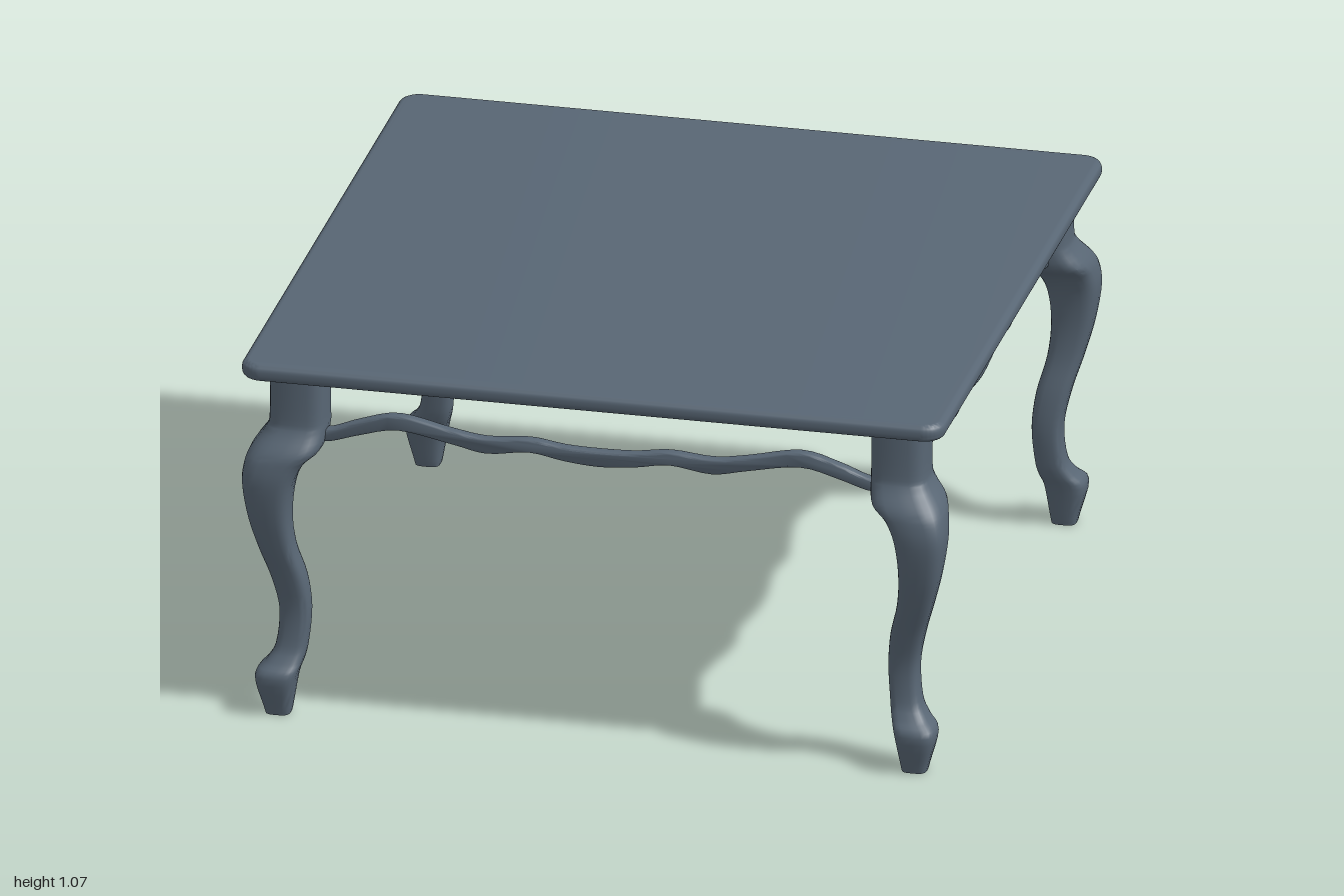
import * as THREE from 'three';
import { toCreasedNormals } from 'three/addons/utils/BufferGeometryUtils.js';

const slate = new THREE.MeshStandardMaterial({ color: 0x586674 });
slate.name = 'slate';

// Leg outline: [height, outer edge, inner edge], the same along x and z
const LEG = [
  [0, 0.94, 0.87], [0.02, 0.945, 0.866], [0.115, 0.968, 0.85], [0.155, 0.94, 0.838],
  [0.2, 0.917, 0.83], [0.3, 0.909, 0.823], [0.4, 0.928, 0.833], [0.5, 0.958, 0.858],
  [0.6, 0.984, 0.866], [0.7, 0.999, 0.855], [0.76, 0.995, 0.828], [0.8, 0.981, 0.785],
  [0.85, 0.945, 0.775], [0.89, 0.936, 0.775], [1.03, 0.936, 0.775],
];

// Half of the scalloped lower edge shared by aprons and rails: [offset, y]
const LOWER = [[0, 0.81], [0.1, 0.818], [0.2, 0.834], [0.32, 0.819], [0.42, 0.838],
  [0.57, 0.864], [0.68, 0.84], [0.76, 0.815], [0.82, 0.81]];
const RAIL_UPPER = [[0, 0.857], [0.1, 0.86], [0.2, 0.873], [0.32, 0.864], [0.42, 0.878],
  [0.57, 0.908], [0.68, 0.882], [0.76, 0.852], [0.82, 0.845]];
const APRON_UPPER = [[0, 0.945], [0.13, 0.935], [0.25, 0.93], [0.4, 0.938], [0.6, 0.935],
  [0.72, 0.95], [0.82, 0.958]];
const FULL_UPPER = [[0, 1.03], [0.82, 1.03]];

// Curved leg swept through rounded-square cross-sections
function legGeometry(sx, sz) {
  const sides = 24, steps = 56;
  const outer = new THREE.SplineCurve(LEG.map(([y, o]) => new THREE.Vector2(o, y)));
  const inner = new THREE.SplineCurve(LEG.map(([y, , i]) => new THREE.Vector2(i, y)));
  const pos = [], index = [];
  for (let r = 0; r <= steps; r++) {
    const a = outer.getPoint(r / steps), b = inner.getPoint(r / steps);
    const c = (a.x + b.x) / 2, h = (a.x - b.x) / 2;
    for (let k = 0; k < sides; k++) {
      const t = (k / sides) * Math.PI * 2, u = Math.cos(t), v = Math.sin(t);
      const round = (n) => Math.sign(n) * Math.pow(Math.abs(n), 0.6) * h;
      pos.push(sx * c + round(u), a.y, sz * c + round(v));
      if (r < steps) {
        const p = r * sides + k, q = r * sides + ((k + 1) % sides);
        index.push(p, p + sides, q, q, p + sides, q + sides);
      }
    }
  }
  // Sole of the foot
  const mid = pos.length / 3;
  pos.push(sx * 0.905, 0, sz * 0.905);
  for (let k = 0; k < sides; k++) index.push(mid, k, (k + 1) % sides);
  const g = new THREE.BufferGeometry();
  g.setAttribute('position', new THREE.Float32BufferAttribute(pos, 3));
  g.setIndex(index);
  return toCreasedNormals(g, 0.7);
}

// Mirror a half edge into a smooth full-width line
function fullEdge(half) {
  const pts = [...half.slice(1).reverse().map(([x, y]) => [-x, y]), ...half];
  return new THREE.SplineCurve(pts.map(([x, y]) => new THREE.Vector2(x, y))).getPoints(64);
}

// Wavy board with its thickness centred on z = 0
function boardGeometry(lower, upper, thickness) {
  const shape = new THREE.Shape([...fullEdge(lower), ...fullEdge(upper).reverse()]);
  const bevel = 0.006;
  const g = new THREE.ExtrudeGeometry(shape, {
    depth: thickness - 2 * bevel, bevelEnabled: true, bevelThickness: bevel,
    bevelSize: bevel, bevelOffset: -bevel, bevelSegments: 2,
  });
  g.translate(0, 0, bevel - thickness / 2);
  return toCreasedNormals(g, 0.9);
}

// Square top with rounded corners and a bullnose rim
function topGeometry() {
  const s = 1, r = 0.06, shape = new THREE.Shape();
  shape.moveTo(-s + r, -s);
  [[1, -1, -0.5], [1, 1, 0], [-1, 1, 0.5], [-1, -1, 1]].forEach(([x, y, a]) =>
    shape.absarc(x * (s - r), y * (s - r), r, a * Math.PI, (a + 0.5) * Math.PI, false));
  const g = new THREE.ExtrudeGeometry(shape, {
    depth: 0.01, bevelEnabled: true, bevelThickness: 0.02, bevelSize: 0.02,
    bevelOffset: -0.02, bevelSegments: 5, curveSegments: 8,
  });
  g.rotateX(-Math.PI / 2).translate(0, 1.04, 0);
  return toCreasedNormals(g, 0.7);
}

export function createModel() {
  const table = new THREE.Group();
  table.name = 'table';
  const add = (name, geometry) => {
    const mesh = new THREE.Mesh(geometry, slate);
    mesh.name = name;
    table.add(mesh);
    return mesh;
  };

  add('tableTop', topGeometry());

  for (const [sx, side] of [[1, 'Left'], [-1, 'Right']])
    for (const [sz, end] of [[1, 'front'], [-1, 'back']])
      add(`${end}${side}Leg`, legGeometry(sx, sz));

  // Slim open rails at front and back
  add('frontRail', boardGeometry(LOWER, RAIL_UPPER, 0.035)).position.z = 0.87;
  add('backRail', boardGeometry(LOWER, RAIL_UPPER, 0.03)).position.z = -0.87;

  // Deep side aprons: one stops short of the top, the other meets it
  const left = add('leftApron', boardGeometry(LOWER, APRON_UPPER, 0.035));
  left.rotation.y = Math.PI / 2;
  left.position.x = 0.87;
  const right = add('rightApron', boardGeometry(LOWER, FULL_UPPER, 0.035));
  right.rotation.y = Math.PI / 2;
  right.position.x = -0.87;

  return table;
}
